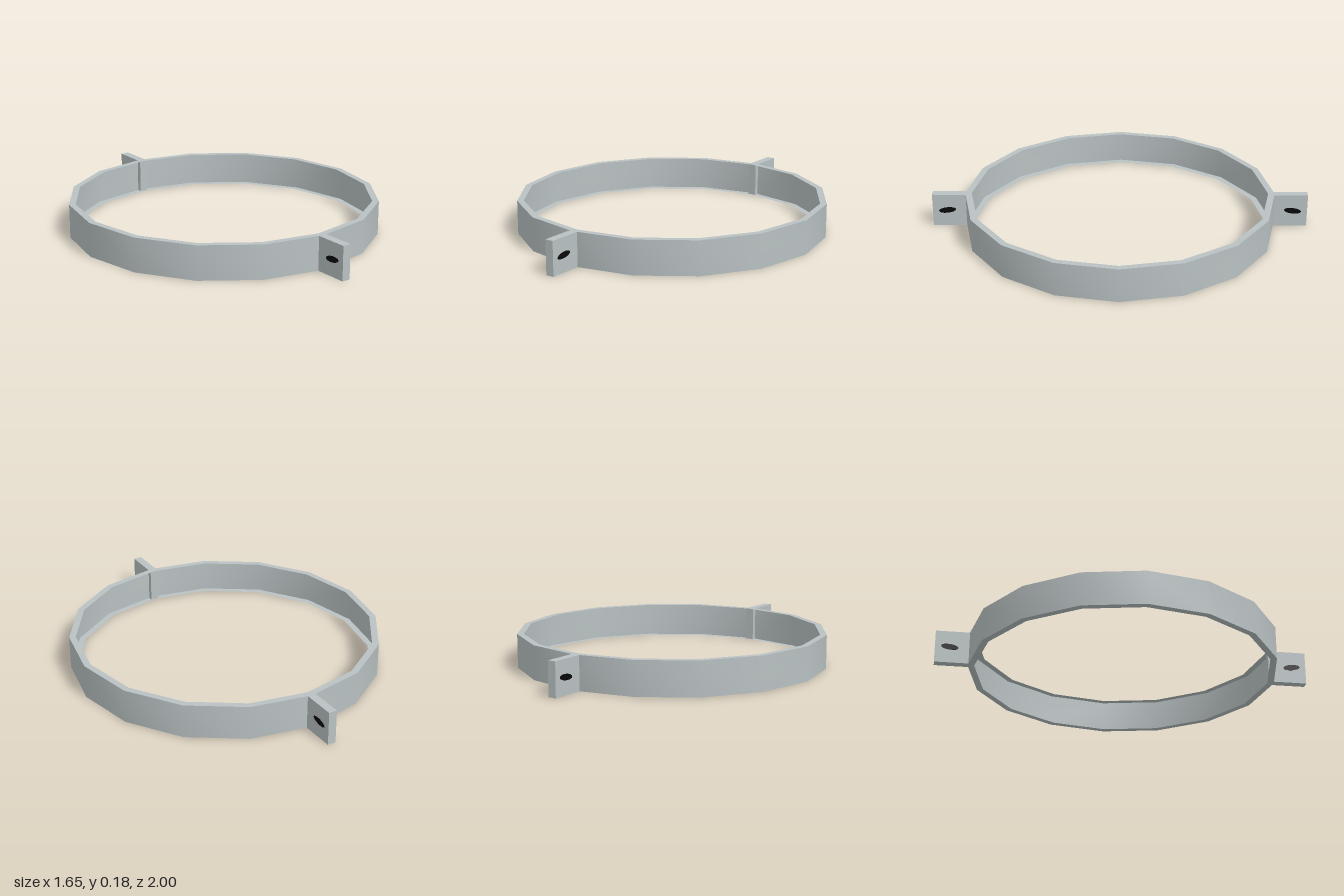
import * as THREE from 'three';
import { toCreasedNormals } from 'three/addons/utils/BufferGeometryUtils.js';

const HEIGHT = 0.18;

export function createModel() {
  const steel = new THREE.MeshStandardMaterial({ color: 0xb9c1c2, side: THREE.DoubleSide });
  steel.name = 'greySteel';
  const dark = new THREE.MeshStandardMaterial({ color: 0x080808 });
  dark.name = 'darkHole';

  const model = new THREE.Group();
  model.name = 'pipeClamp';
  const add = (name, geometry, material, parent) => {
    const mesh = new THREE.Mesh(geometry, material);
    mesh.name = name;
    parent.add(mesh);
    return mesh;
  };

  // Sixteen-sided channel band: thin outer wall with inward rims at top and bottom
  const profile = [[0.79, 0], [0.825, 0], [0.825, HEIGHT], [0.79, HEIGHT]]
    .map(([r, y]) => new THREE.Vector2(r, y));
  const band = new THREE.LatheGeometry(profile, 16);
  add('clampBand', toCreasedNormals(band, 0.6), steel, model);

  // Bolt tabs at front and back, with a slanted dark bolt opening on each face
  const tabGeometry = new THREE.BoxGeometry(0.045, HEIGHT, 0.205);
  const holeGeometry = new THREE.CylinderGeometry(1, 1, 0.003, 16);
  holeGeometry.rotateZ(Math.PI / 2);
  holeGeometry.scale(1, 0.016, 0.046);

  for (const end of [1, -1]) {
    const tab = new THREE.Group();
    tab.name = end > 0 ? 'frontTab' : 'backTab';
    model.add(tab);
    add('tabPlate', tabGeometry, steel, tab).position.set(0, HEIGHT / 2, end * 0.8975);
    for (const side of [1, -1]) {
      const hole = add('boltHole', holeGeometry, dark, tab);
      hole.position.set(side * 0.0225, HEIGHT / 2, end * 0.922);
      hole.rotation.x = side * end * 0.12;
    }
  }
  return model;
}
